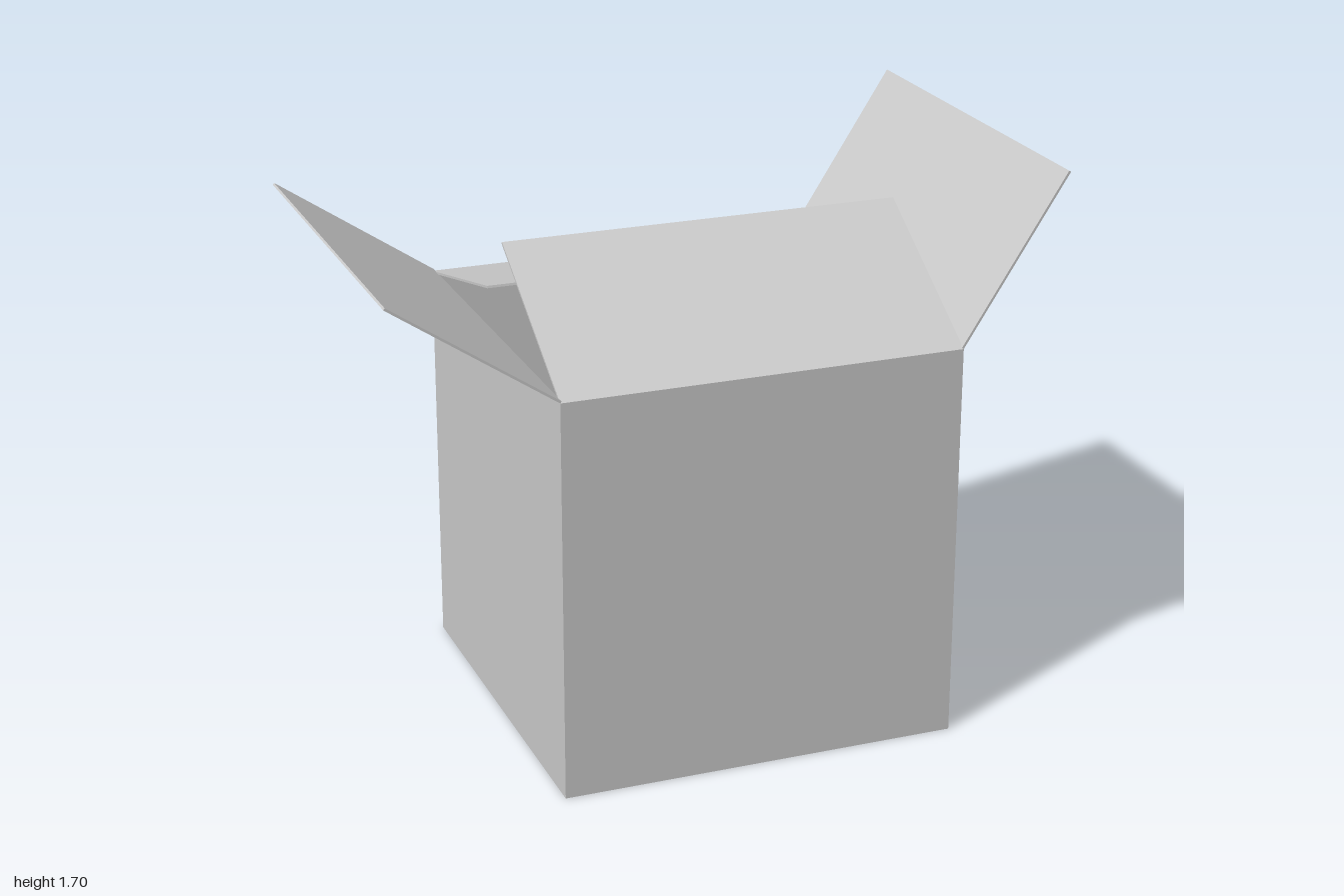
import * as THREE from 'three';

const HALF = 0.603;      // half width of the square carton
const CX = 0.08;         // carton sits off-centre in x
const BASE = 0.018;
const TOP = 1.222;
const T = 0.007;         // board thickness
const FLAP = 0.58;

const material = new THREE.MeshStandardMaterial({ color: 0xcccccc, side: THREE.DoubleSide });

function square(PathType, h) {
  return new PathType([[-h, -h], [h, -h], [h, h], [-h, h]].map(([x, y]) => new THREE.Vector2(x, y)));
}

// A flap hinged on one rim edge; pitch is measured up from the outward horizontal
function makeFlap(name, yaw, pitch) {
  const geometry = new THREE.BoxGeometry(FLAP, T, 2 * HALF);
  geometry.translate(FLAP / 2, T / 2, 0);
  const flap = new THREE.Mesh(geometry, material);
  flap.name = name;
  flap.rotation.order = 'YXZ';
  flap.rotation.set(0, yaw, THREE.MathUtils.degToRad(pitch));
  flap.position.set(CX + HALF * Math.cos(yaw), TOP, -HALF * Math.sin(yaw));
  return flap;
}

export function createModel() {
  const group = new THREE.Group();
  group.name = 'openCarton';

  // Four walls as one hollow square tube
  const outline = square(THREE.Shape, HALF);
  outline.holes.push(square(THREE.Path, HALF - T));
  const wallGeometry = new THREE.ExtrudeGeometry(outline, { depth: TOP - BASE, bevelEnabled: false });
  wallGeometry.rotateX(-Math.PI / 2);
  const walls = new THREE.Mesh(wallGeometry, material);
  walls.name = 'walls';
  walls.position.set(CX, BASE, 0);
  group.add(walls);

  // Floor panel fitted between the walls
  const inner = 2 * (HALF - T);
  const floor = new THREE.Mesh(new THREE.BoxGeometry(inner, T, inner), material);
  floor.name = 'floor';
  floor.position.set(CX, BASE + T / 2, 0);
  group.add(floor);

  // Side flaps folded outward, front and back flaps folded inward
  const flaps = [
    ['leftFlap', 0, 57.3],
    ['rightFlap', Math.PI, 34],
    ['frontFlap', -Math.PI / 2, 148],
    ['backFlap', Math.PI / 2, 167],
  ];
  for (const [name, yaw, pitch] of flaps) group.add(makeFlap(name, yaw, pitch));

  return group;
}
